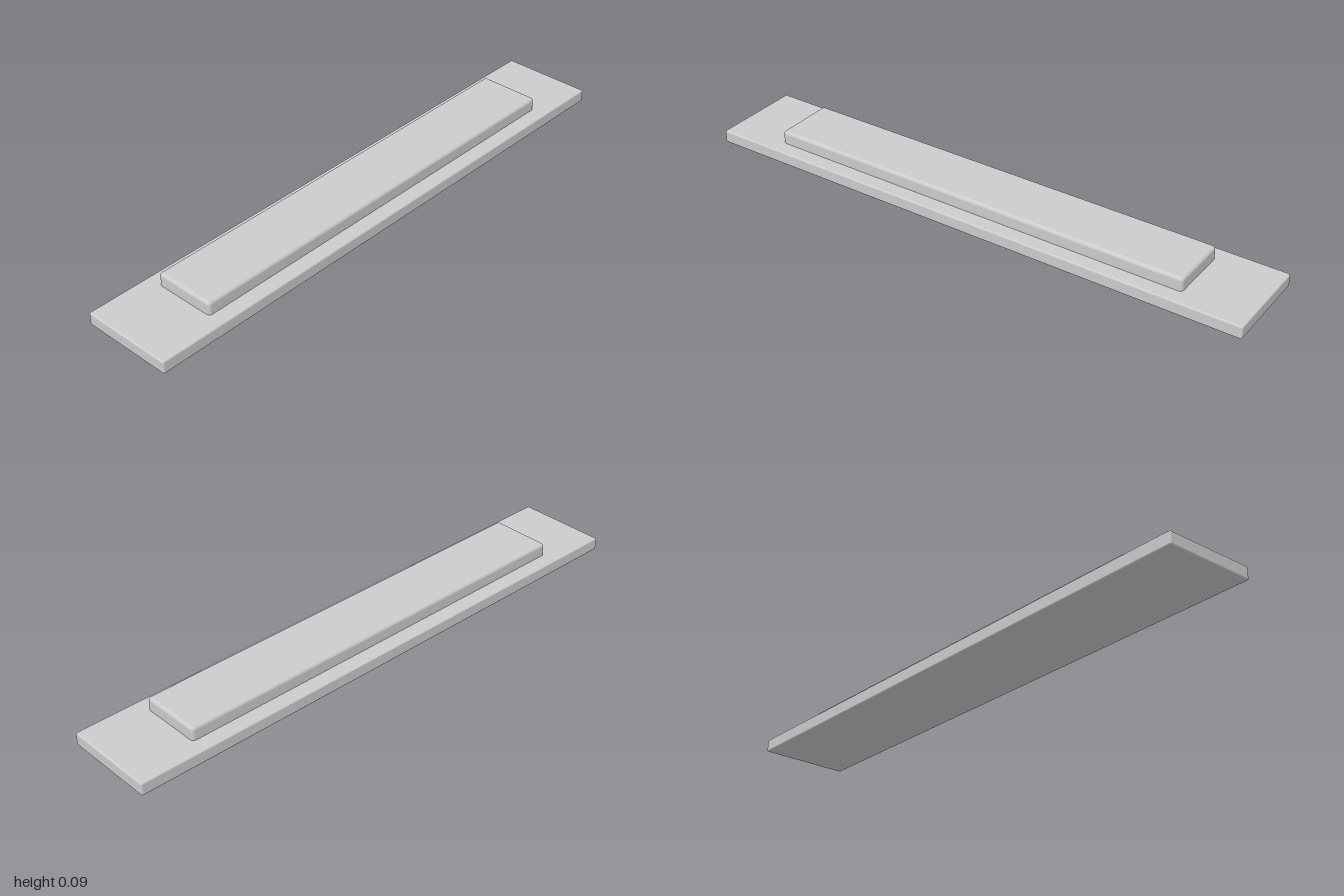
import * as THREE from 'three';
import { RoundedBoxGeometry } from 'three/addons/geometries/RoundedBoxGeometry.js';

const material = new THREE.MeshStandardMaterial({ color: 0xcccccc });

// Slab with softened edges, spanning bottom..top in height
function slab(name, width, depth, bottom, top, radius) {
  const mesh = new THREE.Mesh(
    new RoundedBoxGeometry(width, top - bottom, depth, 3, radius), material);
  mesh.name = name;
  mesh.position.y = (bottom + top) / 2;
  return mesh;
}

export function createModel() {
  const model = new THREE.Group();
  model.name = 'steppedPlate';
  // Wide plate on the ground
  model.add(slab('basePlate', 2, 0.325, 0, 0.045, 0.006));
  // Narrower plate, its lower edge sunk into the base
  model.add(slab('raisedPlate', 1.55, 0.218, 0.03, 0.091, 0.012));
  return model;
}
